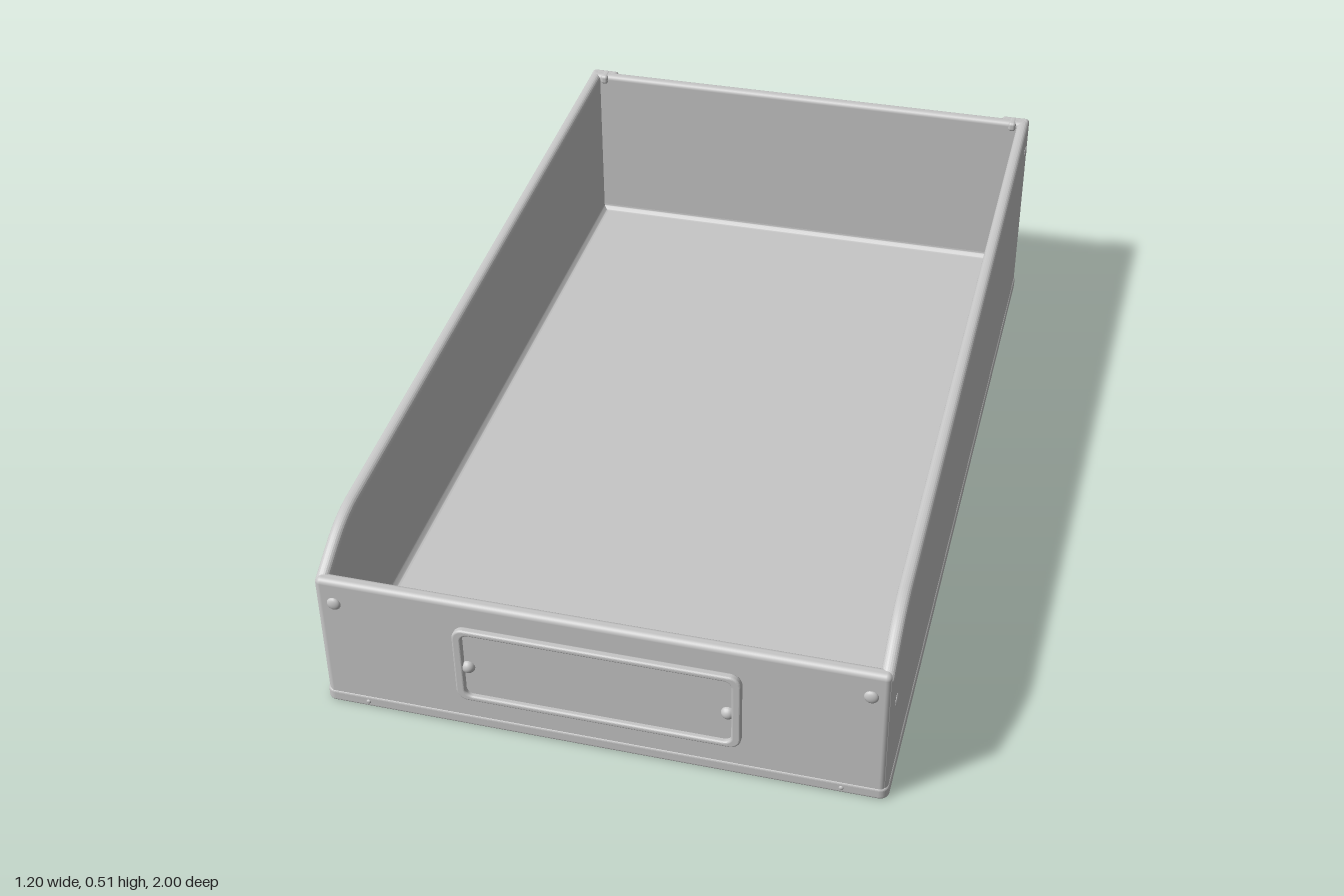
import * as THREE from 'three';
import { toCreasedNormals } from 'three/addons/utils/BufferGeometryUtils.js';
import { RoundedBoxGeometry } from 'three/addons/geometries/RoundedBoxGeometry.js';

const W = 0.597, FRONT = 0.985, BACK = -0.99, T = 0.03;

function roundedRect(path, w, h, r) {
  const x = w / 2, y = h / 2;
  path.moveTo(-x + r, -y);
  path.lineTo(x - r, -y);
  path.absarc(x - r, -y + r, r, -Math.PI / 2, 0);
  path.absarc(x - r, y - r, r, 0, Math.PI / 2);
  path.absarc(-x + r, y - r, r, Math.PI / 2, Math.PI);
  path.absarc(-x + r, -y + r, r, Math.PI, Math.PI * 1.5);
  return path;
}

// Extrudes a shape to an exact depth, with softened edges inside its outline
function softExtrude(shape, depth, bevel) {
  const geo = new THREE.ExtrudeGeometry(shape, {
    depth: depth - 2 * bevel, bevelThickness: bevel, bevelSize: bevel,
    bevelOffset: -bevel, bevelSegments: 5, curveSegments: 10,
  });
  geo.translate(0, 0, bevel);
  return toCreasedNormals(geo, 0.1);
}

export function createModel() {
  const group = new THREE.Group();
  const metal = new THREE.MeshStandardMaterial({ color: 0xc6c6c6 });
  metal.name = 'grey metal';

  const add = (name, geo, x = 0, y = 0, z = 0, parent = group) => {
    const mesh = new THREE.Mesh(geo, metal);
    mesh.name = name;
    mesh.position.set(x, y, z);
    parent.add(mesh);
    return mesh;
  };

  // Base pan, whose edge makes the band around the bottom
  const length = FRONT - BACK, midZ = (FRONT + BACK) / 2;
  const base = softExtrude(roundedRect(new THREE.Shape(), 1.2, length + 0.004, 0.02), 0.03, 0.007);
  base.rotateX(-Math.PI / 2);
  add('base', base, 0, 0, midZ);

  // Side walls, sloping to the front with a curved shoulder
  const tip = -FRONT + 0.003;
  const side = new THREE.Shape();
  side.moveTo(tip, 0.012);
  side.lineTo(-BACK, 0.012);
  side.lineTo(-BACK, 0.5);
  side.quadraticCurveTo(-BACK, 0.51, -BACK - 0.012, 0.51);
  side.lineTo(-0.8, 0.402);
  side.bezierCurveTo(-0.86, 0.395, -0.89, 0.376, -0.92, 0.36);
  side.lineTo(tip + 0.008, 0.328);
  side.quadraticCurveTo(tip, 0.324, tip, 0.315);
  side.closePath();
  const sideGeo = softExtrude(side, T, 0.013);
  sideGeo.rotateY(Math.PI / 2);
  add('leftWall', sideGeo, W - T);
  add('rightWall', sideGeo, -W);

  // Front and back walls with rounded edges, lapping over the side wall ends
  const across = 2 * (W - 0.004);
  add('frontWall', new RoundedBoxGeometry(across, 0.32, T, 4, 0.012), 0, 0.172, FRONT - T / 2);
  add('backWall', new RoundedBoxGeometry(across, 0.498, T, 4, 0.012), 0, 0.261, BACK + T / 2);

  // Inner floor, rising gently to the back, with soft coves along its edges
  const floor = new THREE.Group();
  floor.name = 'floor';
  floor.position.set(0, 0.075, midZ);
  floor.rotation.x = 0.021;
  group.add(floor);
  const floorW = 2 * (W - T), floorL = length - 2 * T, r = 0.014;
  const plate = new THREE.PlaneGeometry(floorW, floorL);
  plate.rotateX(-Math.PI / 2);
  add('floorPlate', plate, 0, 0, 0, floor);
  const cove = new THREE.Shape();
  cove.moveTo(0, 0);
  cove.lineTo(r, 0);
  cove.absarc(r, r, r, -Math.PI / 2, -Math.PI, true);
  cove.closePath();
  const addCove = (len, x, z, turn) => {
    const geo = toCreasedNormals(new THREE.ExtrudeGeometry(cove, { depth: len, bevelEnabled: false, curveSegments: 6 }), 0.6);
    geo.translate(0, 0, -len / 2);
    add('floorCove', geo, x, 0, z, floor).rotation.y = turn;
  };
  addCove(floorL, -floorW / 2, 0, 0);
  addCove(floorL, floorW / 2, 0, Math.PI);
  addCove(floorW, 0, -floorL / 2, -Math.PI / 2);
  addCove(floorW, 0, floorL / 2, Math.PI / 2);

  // Label holder: raised frame around a thin card
  const frame = roundedRect(new THREE.Shape(), 0.6, 0.19, 0.025);
  frame.holes.push(roundedRect(new THREE.Path(), 0.56, 0.164, 0.016));
  add('labelFrame', softExtrude(frame, 0.017, 0.005), 0, 0.178, FRONT - 0.002);
  add('labelCard', new THREE.BoxGeometry(0.565, 0.17, 0.006), 0, 0.178, FRONT + 0.001);

  // Domed rivets
  const dome = (radius, height) => {
    const geo = new THREE.SphereGeometry(radius, 16, 6, 0, Math.PI * 2, 0, Math.PI / 2);
    geo.scale(1, height / radius, 1);
    return geo;
  };
  const rivet = dome(0.015, 0.008), sideRivet = dome(0.014, 0.004), pin = dome(0.005, 0.003);
  const labelRivet = dome(0.015, 0.014);
  for (const s of [-1, 1]) {
    add('frontRivet', rivet, s * 0.555, 0.275, FRONT).rotation.x = Math.PI / 2;
    add('labelRivet', labelRivet, s * 0.272, 0.17, FRONT + 0.003).rotation.x = Math.PI / 2;
    add('basePin', pin, s * 0.505, 0.015, FRONT + 0.002).rotation.x = Math.PI / 2;
    for (const [y, z] of [[0.23, 0.935], [0.445, -0.93]])
      add('sideRivet', sideRivet, s * W, y, z).rotation.z = -s * Math.PI / 2;

    // Folded clip over each rear top corner, with a small tab inside
    add('cornerClip', new RoundedBoxGeometry(0.072, 0.024, 0.026, 3, 0.009), s * 0.56, 0.498, -0.986);
    add('cornerTab', new RoundedBoxGeometry(0.02, 0.025, 0.04, 3, 0.008), s * 0.555, 0.4985, -0.975);
  }
  return group;
}
